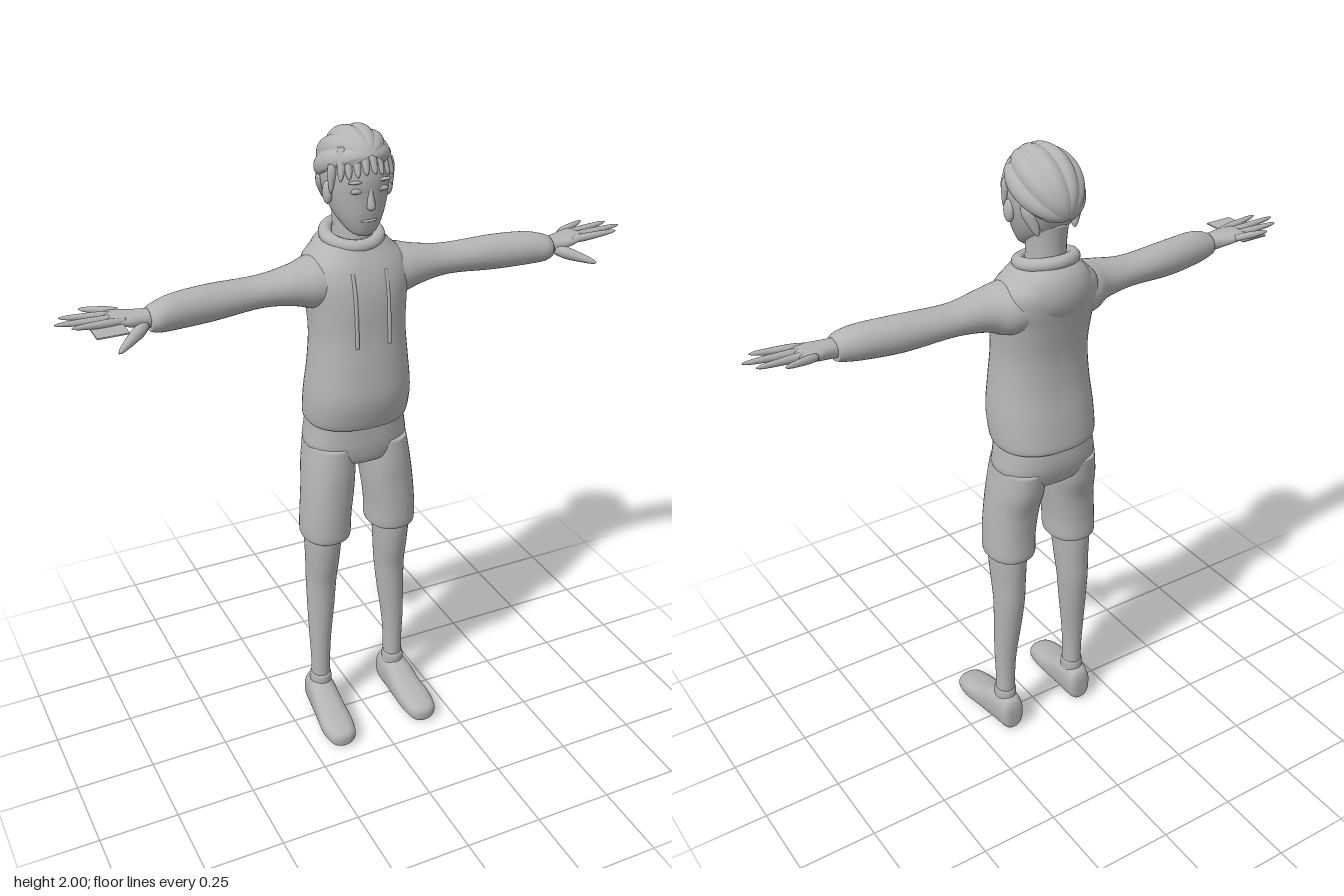
import * as THREE from 'three';

// Catmull-Rom blend of four rows of numbers
function blend(a, b, c, d, t) {
  return b.map((v, k) => {
    const m0 = (c[k] - a[k]) / 2, m1 = (d[k] - v) / 2, t2 = t * t, t3 = t2 * t;
    return (2 * t3 - 3 * t2 + 1) * v + (t3 - 2 * t2 + t) * m0 + (3 * t2 - 2 * t3) * c[k] + (t3 - t2) * m1;
  });
}

// Closed skin over rings [position, centreU, centreV, radiusU, radiusV], listed in rising position.
// Axis y: u = x, v = z.  Axis x: u = y, v = z.  Axis z: u = x, v = y.
function loft(axis, rows, power = 2, sides = 36, steps = 5) {
  const rings = [];
  for (let i = 0; i < rows.length - 1; i++) {
    const a = rows[Math.max(i - 1, 0)], d = rows[Math.min(i + 2, rows.length - 1)];
    for (let s = 0; s < steps; s++) rings.push(blend(a, rows[i], rows[i + 1], d, s / steps));
  }
  rings.push(rows[rows.length - 1]);
  const pos = [], index = [];
  const put = (t, u, v) => pos.push(...(axis === 'y' ? [u, t, v] : axis === 'x' ? [t, u, v] : [u, v, t]));
  const round = (n) => Math.sign(n) * Math.abs(n) ** (2 / power);
  for (const [t, u, v, ru, rv] of rings) {
    for (let j = 0; j < sides; j++) {
      const w = (j / sides) * Math.PI * 2;
      put(t, u + ru * round(Math.cos(w)), v + rv * round(Math.sin(w)));
    }
  }
  const tri = (a, b, c) => (axis === 'y' ? index.push(a, c, b) : index.push(a, b, c));
  const last = (rings.length - 1) * sides, start = rings.length * sides;
  put(...rings[0].slice(0, 3));
  put(...rings[rings.length - 1].slice(0, 3));
  for (let j = 0; j < sides; j++) {
    const k = (j + 1) % sides;
    for (let i = 0; i < rings.length - 1; i++) {
      const o = i * sides;
      tri(o + j, o + k, o + sides + j);
      tri(o + k, o + sides + k, o + sides + j);
    }
    tri(start, k, j);
    tri(start + 1, last + j, last + k);
  }
  const geo = new THREE.BufferGeometry();
  geo.setAttribute('position', new THREE.Float32BufferAttribute(pos, 3));
  geo.setIndex(index);
  geo.computeVertexNormals();
  return geo;
}

// Upright body rings from [y, halfWidth, frontZ, backZ] at centre x
const upright = (rows, x = 0) => rows.map(([y, w, f, b, cx = x]) => [y, cx, (f + b) / 2, w, (f - b) / 2]);

// Tapered, round-tipped finger or lock from p to q
function taper(p, q, r0, r1) {
  const a = new THREE.Vector3(...p), d = new THREE.Vector3(...q).sub(a), l = d.length();
  const geo = loft('y', [[0, 0, 0, r0 * 0.8, r0 * 0.8], [l * 0.3, 0, 0, r0, r0], [l * 0.85, 0, 0, r1, r1],
    [l, 0, 0, r1 * 0.2, r1 * 0.2]], 2, 12, 4);
  geo.applyQuaternion(new THREE.Quaternion().setFromUnitVectors(new THREE.Vector3(0, 1, 0), d.normalize()));
  return geo.translate(a.x, a.y, a.z);
}

function mirrored(geo) {
  const g = geo.clone().scale(-1, 1, 1), ix = g.index;
  for (let i = 0; i < ix.count; i += 3) {
    const b = ix.getX(i + 1);
    ix.setX(i + 1, ix.getX(i + 2));
    ix.setX(i + 2, b);
  }
  return g;
}

function ball(x, y, z, rx, ry, rz) {
  return new THREE.SphereGeometry(1, 28, 18).scale(rx, ry, rz).translate(x, y, z);
}

export function createModel() {
  const group = new THREE.Group();
  const grey = new THREE.MeshStandardMaterial({ color: 0xb4b4b4 });
  grey.name = 'plain grey';
  const add = (name, geo) => {
    const mesh = new THREE.Mesh(geo, grey);
    mesh.name = name;
    group.add(mesh);
  };
  const pair = (name, geo) => {
    add(name + 'Left', geo);
    add(name + 'Right', mirrored(geo));
  };

  // Hooded top
  add('sweaterBody', loft('y', upright([
    [1.1, 0.148, 0.065, -0.175], [1.115, 0.161, 0.08, -0.185], [1.2, 0.163, 0.1, -0.173],
    [1.3, 0.153, 0.095, -0.156], [1.4, 0.146, 0.085, -0.152], [1.5, 0.153, 0.08, -0.165],
    [1.56, 0.162, 0.07, -0.177], [1.61, 0.152, 0.052, -0.182], [1.65, 0.115, 0.03, -0.172],
    [1.68, 0.085, 0.012, -0.15]]), 2.3, 48));
  pair('sleeve', loft('x', [
    [0.06, 1.56, -0.06, 0.08, 0.095], [0.14, 1.555, -0.055, 0.076, 0.088], [0.2, 1.558, -0.046, 0.06, 0.068],
    [0.3, 1.557, -0.045, 0.046, 0.055], [0.45, 1.555, -0.035, 0.053, 0.053], [0.56, 1.555, -0.02, 0.051, 0.051],
    [0.615, 1.552, -0.01, 0.043, 0.047], [0.64, 1.55, -0.01, 0.034, 0.038]]));
  add('hood', ball(0, 1.605, -0.118, 0.115, 0.095, 0.075));
  add('collar', new THREE.TorusGeometry(0.078, 0.02, 14, 40).rotateX(Math.PI / 2 + 0.2).translate(0, 1.678, -0.067));
  const string = new THREE.CatmullRomCurve3([[1.6, 0.05], [1.55, 0.067], [1.47, 0.078], [1.38, 0.083]]
    .map(([y, z]) => new THREE.Vector3(0.052, y, z)));
  pair('drawString', new THREE.TubeGeometry(string, 16, 0.006, 8));

  // Shorts
  add('shortsSeat', loft('y', upright([
    [0.955, 0.06, 0.01, -0.1], [0.975, 0.12, 0.045, -0.148], [1.02, 0.162, 0.056, -0.168],
    [1.07, 0.159, 0.058, -0.172], [1.13, 0.15, 0.058, -0.165]]), 2.4));
  pair('shortsLeg', loft('y', upright([
    [0.7, 0.066, 0.04, -0.11, 0.113], [0.71, 0.077, 0.054, -0.125, 0.113], [0.78, 0.078, 0.057, -0.124, 0.111],
    [0.87, 0.08, 0.057, -0.13, 0.102], [0.95, 0.079, 0.057, -0.152, 0.094], [1.03, 0.073, 0.05, -0.16, 0.088]]), 2.2));

  // Legs, socks and shoes
  pair('leg', loft('y', upright([
    [0.08, 0.031, -0.006, -0.073, 0.135], [0.2, 0.031, -0.005, -0.074, 0.134], [0.3, 0.036, -0.002, -0.08, 0.133],
    [0.42, 0.044, 0.001, -0.094, 0.127], [0.52, 0.049, 0.006, -0.105, 0.123], [0.6, 0.053, 0.022, -0.107, 0.121],
    [0.68, 0.057, 0.034, -0.11, 0.12], [0.74, 0.058, 0.034, -0.11, 0.118]])));
  pair('sock', loft('y', upright([
    [0.09, 0.035, 0, -0.078], [0.14, 0.035, 0.001, -0.078], [0.15, 0.031, -0.004, -0.074]], 0.135)));
  pair('shoe', loft('z', [
    [-0.1, 0.136, 0.05, 0.02, 0.035], [-0.088, 0.136, 0.06, 0.038, 0.058], [-0.045, 0.137, 0.066, 0.045, 0.066],
    [0, 0.14, 0.061, 0.048, 0.061], [0.06, 0.143, 0.046, 0.051, 0.046], [0.12, 0.147, 0.037, 0.054, 0.037],
    [0.17, 0.148, 0.03, 0.045, 0.03], [0.188, 0.148, 0.027, 0.03, 0.023], [0.195, 0.148, 0.025, 0.012, 0.012]], 2.5));

  // Hands
  pair('palm', loft('x', [
    [0.61, 1.551, -0.01, 0.027, 0.03], [0.66, 1.556, -0.012, 0.024, 0.034], [0.7, 1.562, -0.016, 0.019, 0.044],
    [0.735, 1.568, -0.022, 0.013, 0.047], [0.755, 1.571, -0.024, 0.007, 0.04]], 2.3));
  const fingers = [[-0.058, 0.81, -0.09], [-0.035, 0.875, -0.052], [-0.011, 0.897, -0.01], [0.014, 0.86, 0.03]];
  fingers.forEach(([z0, x1, z1], i) => {
    pair('finger' + (i + 1), taper([0.71, 1.568, z0], [x1, 1.58, z1], 0.012, 0.007));
  });
  pair('thumb', taper([0.655, 1.545, 0.01], [0.755, 1.512, 0.09], 0.018, 0.009));
  add('handPlate', new THREE.BoxGeometry(0.09, 0.004, 0.175).translate(-0.765, 1.564, 0.002));

  // Head and neck
  add('neck', loft('y', upright([
    [1.62, 0.068, 0.005, -0.145], [1.68, 0.057, -0.002, -0.132], [1.74, 0.056, -0.005, -0.132],
    [1.8, 0.06, 0, -0.14]])));
  add('head', loft('y', upright([
    [1.7, 0.02, 0.03, -0.005], [1.715, 0.043, 0.043, -0.045], [1.76, 0.071, 0.055, -0.11],
    [1.82, 0.09, 0.06, -0.15], [1.88, 0.095, 0.062, -0.165], [1.94, 0.084, 0.043, -0.152],
    [1.975, 0.045, 0, -0.11]]), 2.15));
  add('nose', taper([0, 1.85, 0.055], [0, 1.785, 0.065], 0.008, 0.012));
  add('mouth', ball(0, 1.753, 0.051, 0.026, 0.005, 0.006));
  pair('eye', ball(0.039, 1.842, 0.052, 0.019, 0.008, 0.008));
  pair('eyebrow', ball(0.042, 1.868, 0.053, 0.025, 0.005, 0.008));
  pair('ear', ball(0.094, 1.825, -0.025, 0.013, 0.033, 0.02).rotateZ(0));

  // Swept-back hair: ridges running from brow to nape
  const hair = new THREE.SphereGeometry(1, 144, 32, Math.PI - 0.35, Math.PI + 0.7);
  const p = hair.attributes.position;
  for (let i = 0; i < p.count; i++) {
    const x = p.getX(i), z = p.getZ(i);
    const up = Math.atan2(-z, Math.abs(x));
    const ridge = 0.94 + 0.08 * Math.abs(Math.sin(5.5 * (Math.PI / 2 - up)));
    const tuck = 1 - 0.2 * THREE.MathUtils.smoothstep(-up, 0.05, 0.35);
    const k = Math.hypot(x, z) > 0.001 ? ridge * tuck : 1;
    p.setXYZ(i, x * k, p.getY(i), z * k);
  }
  hair.rotateX(Math.PI / 2).scale(0.105, 0.111, 0.133).rotateX(-0.44).translate(0, 1.885, -0.058);
  hair.computeVertexNormals();
  add('hair', hair);
  [0.012, 0.034, 0.055, 0.073].forEach((x, i) => {
    pair('frontLock' + (i + 1), taper([x * 0.8, 1.955, 0.025 - x * 0.3], [x * 1.1, 1.888 - i * 0.006, 0.066 - x * x * 6],
      0.016, 0.008));
  });
  pair('sideLock', taper([0.086, 1.91, -0.005], [0.095, 1.83, 0.0], 0.014, 0.006));
  pair('napeLock', taper([0.08, 1.86, -0.09], [0.06, 1.775, -0.12], 0.022, 0.01));
  return group;
}
